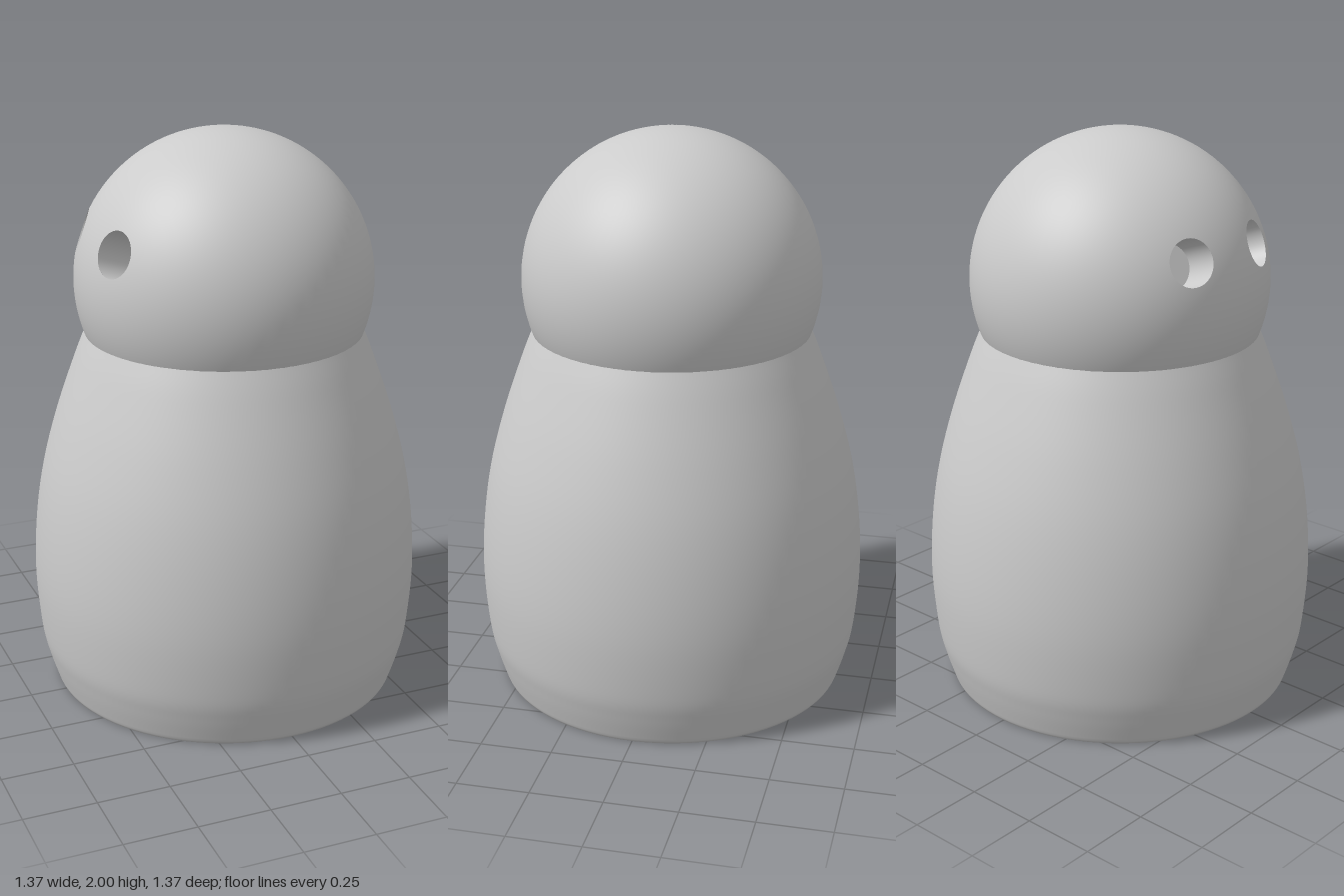
import * as THREE from 'three';

const HEAD_R = 0.52, HEAD_Y = 1.48;   // head sphere
const HOLE_R = 0.08, HOLE_DEPTH = 0.16; // eye holes

// Half of the head sphere (split at z = 0), swept from the rim of its eye hole to the split plane.
function halfHeadGeometry(axis, side) {
  const up = new THREE.Vector3(0, 1, 0);
  const e1 = up.addScaledVector(axis, -axis.y).normalize();
  const e2 = new THREE.Vector3().crossVectors(axis, e1);
  const around = 192, rings = 32, rim = Math.asin(HOLE_R / HEAD_R);
  const positions = [], normals = [], index = [];
  for (let i = 0; i <= rings; i++) {
    for (let j = 0; j <= around; j++) {
      const a = (j / around) * Math.PI * 2;
      const e = e1.clone().multiplyScalar(Math.cos(a)).addScaledVector(e2, Math.sin(a));
      const end = Math.atan2(Math.abs(axis.z), -side * e.z);
      const t = rim + (end - rim) * (i / rings);
      const d = axis.clone().multiplyScalar(Math.cos(t)).addScaledVector(e, Math.sin(t));
      normals.push(d.x, d.y, d.z);
      positions.push(d.x * HEAD_R, d.y * HEAD_R, d.z * HEAD_R);
      if (i < rings && j < around) {
        const p = i * (around + 1) + j, q = p + around + 1;
        index.push(p, q, p + 1, q, q + 1, p + 1);
      }
    }
  }
  const g = new THREE.BufferGeometry();
  g.setAttribute('position', new THREE.Float32BufferAttribute(positions, 3));
  g.setAttribute('normal', new THREE.Float32BufferAttribute(normals, 3));
  g.setIndex(index);
  return g;
}

export function createModel() {
  const model = new THREE.Group();
  const mat = new THREE.MeshStandardMaterial({ color: 0xcccccc });
  const inner = new THREE.MeshStandardMaterial({ color: 0xcccccc, side: THREE.BackSide });
  const add = (parent, name, geometry, material = mat) => {
    const mesh = new THREE.Mesh(geometry, material);
    mesh.name = name;
    parent.add(mesh);
    return mesh;
  };

  // Body: pear-shaped turned form with a closed flat base
  const side = new THREE.SplineCurve([
    [0.622, 0.01], [0.65, 0.1], [0.672, 0.2], [0.687, 0.4], [0.678, 0.6],
    [0.648, 0.8], [0.595, 1.0], [0.526, 1.2], [0.486, 1.3],
  ].map(([x, y]) => new THREE.Vector2(x, y))).getPoints(48);
  const profile = [new THREE.Vector2(0, 0), new THREE.Vector2(0.59, 0), new THREE.Vector2(0.617, 0), ...side];
  add(model, 'body', new THREE.LatheGeometry(profile, 96));

  // Head: two mirrored halves, each with an eye hole on the -x side
  const head = new THREE.Group();
  head.name = 'head';
  head.position.y = HEAD_Y;
  model.add(head);
  const rimDistance = Math.sqrt(HEAD_R ** 2 - HOLE_R ** 2);
  for (const s of [1, -1]) {
    const axis = new THREE.Vector3(-0.887, 0.322, 0.331 * s).normalize();
    const label = s > 0 ? 'front' : 'back';
    add(head, label + 'HeadHalf', halfHeadGeometry(axis, s));

    // Eye hole: recessed round socket with a flat floor
    const hole = new THREE.Group();
    hole.name = label + 'EyeHole';
    hole.quaternion.setFromUnitVectors(new THREE.Vector3(0, 1, 0), axis);
    hole.position.copy(axis).multiplyScalar(rimDistance - HOLE_DEPTH / 2);
    head.add(hole);
    add(hole, 'eyeHoleWall', new THREE.CylinderGeometry(HOLE_R, HOLE_R, HOLE_DEPTH, 48, 1, true), inner);
    const floor = add(hole, 'eyeHoleFloor', new THREE.CircleGeometry(HOLE_R, 48));
    floor.rotation.x = -Math.PI / 2;
    floor.position.y = -HOLE_DEPTH / 2;
  }
  return model;
}
